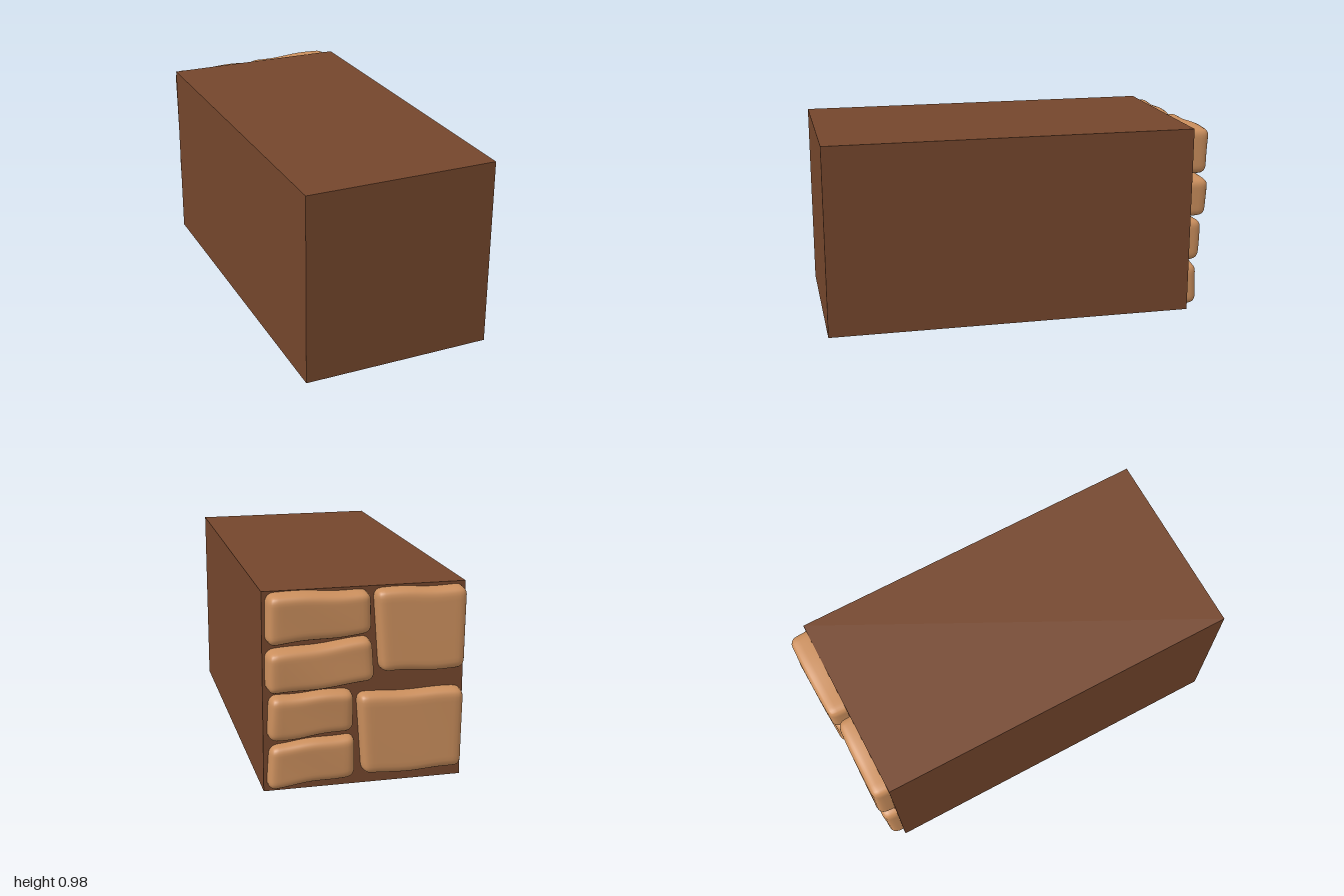
import * as THREE from 'three';
import { mergeVertices } from 'three/addons/utils/BufferGeometryUtils.js';

const BACK = -0.9; // plane the stones sit on

// Pillow-like stone: a rounded block warped to four corners.
// Corners are [x, y, z of outer face], ordered low +x, low -x, high -x, high +x.
function stoneGeometry(corners, radius, phase) {
  const mean = (i) => corners.reduce((s, c) => s + c[i], 0) / 4;
  const [a, b, c, d] = corners;
  const w = (a[0] + d[0] - b[0] - c[0]) / 2;
  const h = (c[1] + d[1] - a[1] - b[1]) / 2;
  const depth = BACK + 0.05 - mean(2);
  let geo = new THREE.BoxGeometry(2, 2, 2, 20, 20, 10);
  geo.deleteAttribute('uv');
  geo.deleteAttribute('normal');
  const pos = geo.attributes.position;
  const p = new THREE.Vector3(), q = new THREE.Vector3();
  const half = new THREE.Vector3(w / 2, h / 2, depth / 2);
  const inner = half.clone().subScalar(radius);
  for (let i = 0; i < pos.count; i++) {
    // crowd the grid toward the edges, then round them off
    p.fromBufferAttribute(pos, i);
    p.set(...p.toArray().map((t) => Math.sin(t * Math.PI / 2))).multiply(half);
    q.copy(p).clamp(inner.clone().negate(), inner);
    p.sub(q).setLength(radius).add(q);
    // bilinear warp to the corners, with soft uneven edges
    const u = 0.5 - p.x / w, v = 0.5 + p.y / h, out = 0.5 - p.z / depth;
    const mix = (k) => (a[k] * (1 - u) + b[k] * u) * (1 - v) + (d[k] * (1 - u) + c[k] * u) * v;
    const taper = 1 - 0.025 * out;
    const x = mean(0) + (mix(0) - mean(0)) * taper;
    const y = mean(1) + (mix(1) - mean(1)) * taper + 0.006 * Math.sin(u * 6 + phase) * Math.sin(Math.PI * u);
    const wave = 0.003 * Math.sin(u * 5 + v * 3 + phase);
    const z = BACK + 0.05 + (mix(2) + wave - BACK - 0.05) * out;
    pos.setXYZ(i, x, y, z);
  }
  geo = mergeVertices(geo, 1e-5);
  geo.computeVertexNormals();
  return geo;
}

export function createModel() {
  const model = new THREE.Group();
  model.name = 'stoneFacedBlock';

  const earth = new THREE.MeshStandardMaterial({ color: 0x74462c });
  earth.name = 'dark brown';
  const sandstone = new THREE.MeshStandardMaterial({ color: 0xcb8f5d });
  sandstone.name = 'sandstone';

  // Plain block
  const block = new THREE.Mesh(new THREE.BoxGeometry(0.98, 0.98, 1.9), earth);
  block.name = 'block';
  block.position.set(0, 0.49, 0.05);
  model.add(block);

  // Stones across the back: four narrow ones on +x, two large ones on -x
  const stones = {
    narrowStoneTop: [[0.48, 0.73, -0.99], [-0.02, 0.77, -0.985], [-0.015, 0.97, -0.995], [0.475, 0.975, -1]],
    narrowStoneUpper: [[0.48, 0.5, -0.995], [-0.04, 0.535, -0.985], [-0.025, 0.745, -0.98], [0.48, 0.705, -1]],
    narrowStoneLower: [[0.475, 0.26, -0.965], [0.06, 0.285, -0.965], [0.06, 0.49, -0.975], [0.465, 0.485, -0.98]],
    narrowStoneBottom: [[0.48, 0.015, -0.96], [0.05, 0.05, -0.96], [0.05, 0.265, -0.965], [0.465, 0.235, -0.965]],
    wideStoneTop: [[-0.065, 0.565, -0.97], [-0.48, 0.565, -0.98], [-0.485, 0.97, -0.985], [-0.035, 0.97, -0.97]],
    wideStoneBottom: [[0.015, 0.055, -0.965], [-0.485, 0.055, -0.965], [-0.485, 0.465, -0.975], [0.045, 0.47, -0.97]],
  };
  Object.entries(stones).forEach(([name, corners], i) => {
    const mesh = new THREE.Mesh(stoneGeometry(corners, 0.04, i * 1.7), sandstone);
    mesh.name = name;
    model.add(mesh);
  });

  return model;
}
